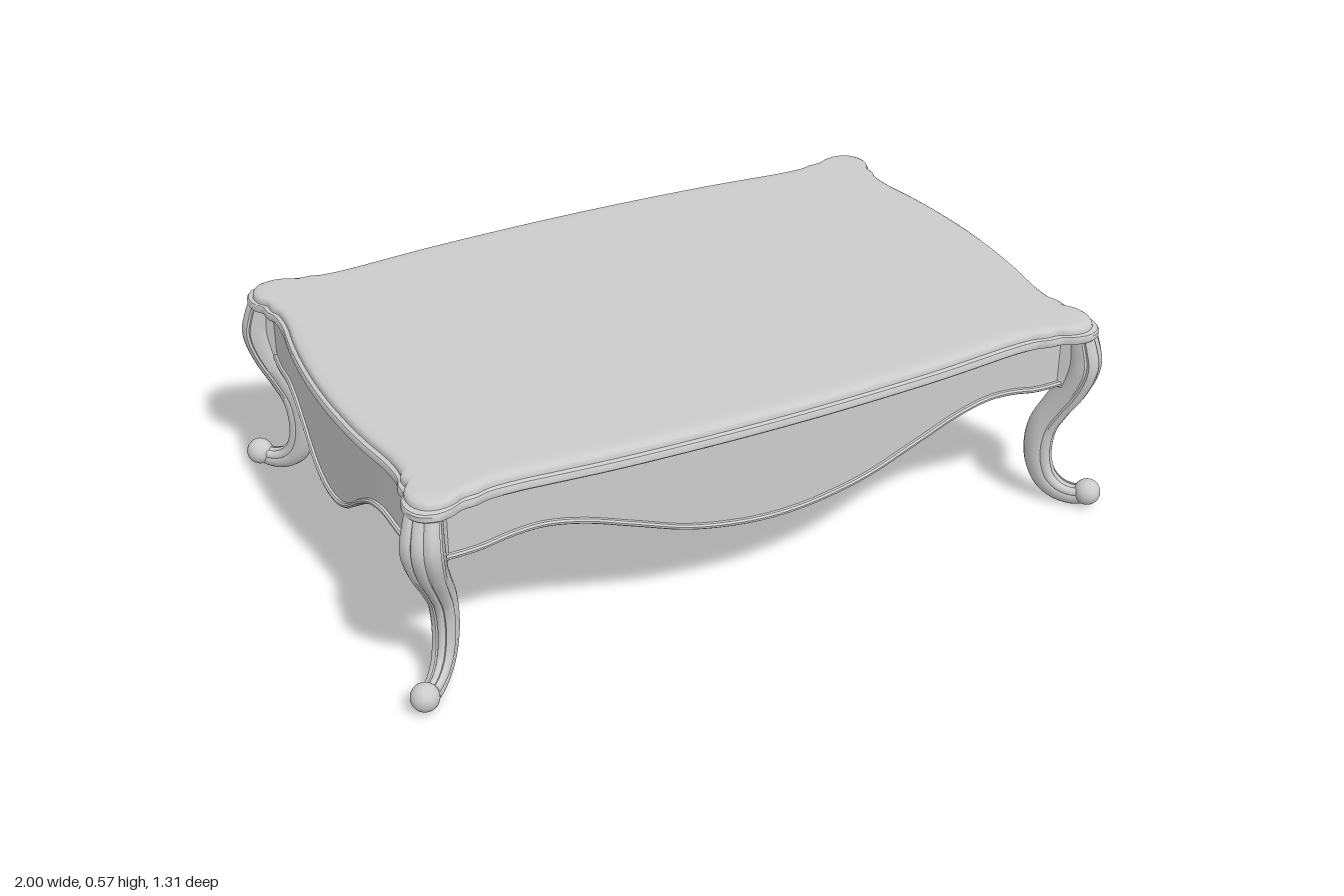
import * as THREE from 'three';
import { toCreasedNormals } from 'three/addons/utils/BufferGeometryUtils.js';

const material = new THREE.MeshStandardMaterial({ color: 0xcccccc });
const V = (x, y, z) => new THREE.Vector3(x, y, z);

// Skin closed rings into a capped solid with outward faces.
function loft(name, rings, crease = 0.6) {
  const n = rings[0].length;
  const tris = [];
  for (let i = 0; i < rings.length - 1; i++) {
    for (let j = 0; j < n; j++) {
      const k = (j + 1) % n;
      const a = rings[i][j], b = rings[i][k], c = rings[i + 1][k], d = rings[i + 1][j];
      tris.push([a, b, c], [a, c, d]);
    }
  }
  const cap = (ring, flip) => {
    const mid = ring.reduce((s, p) => s.add(p), V(0, 0, 0)).divideScalar(n);
    ring.forEach((p, j) => {
      const q = ring[(j + 1) % n];
      tris.push(flip ? [mid, q, p] : [mid, p, q]);
    });
  };
  cap(rings[0], true);
  cap(rings[rings.length - 1], false);
  // A negative volume means the winding is inside out
  const volume = tris.reduce((s, [a, b, c]) => s + a.dot(b.clone().cross(c)), 0);
  const pts = tris.flatMap(([a, b, c]) => (volume < 0 ? [a, c, b] : [a, b, c]));
  // Creasing merges points closer than 0.01, so it is done at a larger scale
  const big = new THREE.BufferGeometry().setFromPoints(pts).scale(200, 200, 200);
  const mesh = new THREE.Mesh(toCreasedNormals(big, crease).scale(0.005, 0.005, 0.005), material);
  mesh.name = name;
  return mesh;
}

// Bowed tabletop with eared corners and a stepped, rounded edge.
function tabletop() {
  const quarter = [
    [0.2, 0.628], [0.45, 0.617], [0.6, 0.604], [0.69, 0.596], [0.77, 0.596],
    [0.802, 0.605], [0.84, 0.608], [0.87, 0.622], [0.91, 0.628], [0.945, 0.613],
    [0.963, 0.58], [0.962, 0.54], [0.945, 0.51], [0.944, 0.475], [0.935, 0.45],
    [0.935, 0.38], [0.952, 0.27], [0.965, 0.14],
  ];
  const back = [...quarter].reverse();
  const mirror = (list, sx, sz) => list.map(([x, z]) => V(x * sx, 0, z * sz));
  const outline = new THREE.CatmullRomCurve3([
    V(0, 0, 0.631), ...mirror(quarter, 1, 1),
    V(0.97, 0, 0), ...mirror(back, 1, -1),
    V(0, 0, -0.631), ...mirror(quarter, -1, -1),
    V(-0.97, 0, 0), ...mirror(back, -1, 1),
  ], true, 'centripetal');
  const edge = [];
  for (let i = 0; i < 304; i++) edge.push(outline.getPoint(i / 304));
  // Edge moulding: inset, height
  const moulding = [
    [0.06, 0.523], [0.01, 0.523], [0.003, 0.524], [0, 0.528], [0, 0.541], [0.003, 0.546],
    [0.013, 0.549], [0.014, 0.558], [0.017, 0.563], [0.024, 0.567], [0.04, 0.57], [0.06, 0.57],
  ];
  return loft('tabletop', moulding.map(([inset, y]) =>
    edge.map(p => V(p.x * (1 - inset / 0.97), y, p.z * (1 - inset / 0.631)))));
}

// Bowed apron panel with a scalloped, beaded lower edge; place(u, y, out) sets its side.
function apron(name, half, centre, end, place) {
  const points = [...half.slice(1).reverse().map(([u, y]) => V(-u, y, 0)),
    ...half.map(([u, y]) => V(u, y, 0))];
  const curve = new THREE.CatmullRomCurve3(points, false, 'centripetal');
  const length = half[half.length - 1][0];
  const rings = curve.getSpacedPoints(72).map(p => {
    const out = centre - (centre - end) * (p.x / length) ** 2;
    const section = [
      [0, 0.53], [0, p.y + 0.016], [0.006, p.y + 0.015], [0.01, p.y + 0.01],
      [0.009, p.y + 0.004], [0.004, p.y], [-0.03, p.y], [-0.03, 0.53],
    ];
    return section.map(([o, y]) => place(p.x, y, out + o));
  });
  return loft(name, rings);
}

// Cabriole leg swept along a diagonal S curve, ending in a ball foot.
function leg(name, sx, sz) {
  const group = new THREE.Group();
  group.name = name;
  // Path: x, height, radius
  const path = new THREE.CatmullRomCurve3([
    [0.916, 0.535, 0.037], [0.925, 0.49, 0.042], [0.93, 0.44, 0.046], [0.916, 0.37, 0.044],
    [0.889, 0.3, 0.041], [0.868, 0.24, 0.04], [0.861, 0.18, 0.039], [0.865, 0.12, 0.037],
    [0.881, 0.068, 0.034], [0.907, 0.038, 0.031], [0.935, 0.029, 0.029], [0.96, 0.037, 0.028],
  ].map(p => V(...p)), false, 'centripetal');
  // Half section: central bead, groove, flank, second groove and rounded back
  const half = [
    [1, 0], [0.98, 0.15], [0.92, 0.27], [0.82, 0.32], [0.9, 0.45], [0.85, 0.74], [0.67, 0.93],
    [0.4, 1], [0.28, 0.92], [0.16, 1], [-0.3, 0.94], [-0.65, 0.72], [-0.9, 0.38], [-1, 0],
  ];
  const section = [...half, ...half.slice(1, -1).reverse().map(([u, v]) => [u, -v])];
  const side = V(1, 0, -1).normalize();
  const rings = [];
  for (let i = 0; i <= 48; i++) {
    const p = path.getPoint(i / 48), t = path.getTangent(i / 48);
    const front = V(t.x, t.y, t.x).normalize().cross(side);
    // The knee is broad, the ankle slim
    const width = p.z * (0.8 + 0.32 * THREE.MathUtils.smoothstep(p.y, 0.22, 0.44));
    rings.push(section.map(([u, v]) => V(p.x, p.y, p.x - 0.343)
      .addScaledVector(front, u * p.z).addScaledVector(side, v * width)
      .multiply(V(sx, 1, sz))));
  }
  group.add(loft('cabrioleLeg', rings, 0.7));

  const ball = new THREE.Mesh(new THREE.SphereGeometry(0.036, 24, 16), material);
  ball.name = 'ballFoot';
  ball.position.set(0.964 * sx, 0.043, 0.619 * sz);
  group.add(ball);

  // Narrow neck joining the knee to the apron corner
  const neck = new THREE.Mesh(new THREE.BoxGeometry(0.066, 0.156, 0.06), material);
  neck.name = 'kneeNeck';
  neck.position.set(0.901 * sx, 0.45, 0.558 * sz);
  neck.rotation.y = sx * sz * Math.PI / 4;
  group.add(neck);
  return group;
}

export function createModel() {
  const model = new THREE.Group();
  model.name = 'coffeeTable';
  model.add(tabletop());

  // Lower edges of the aprons: distance from middle, height
  const longEdge = [[0, 0.253], [0.1, 0.259], [0.25, 0.287], [0.4, 0.34], [0.53, 0.385],
    [0.63, 0.403], [0.71, 0.397], [0.79, 0.38], [0.905, 0.372]];
  const shortEdge = [[0, 0.247], [0.06, 0.254], [0.12, 0.28], [0.2, 0.337], [0.28, 0.381],
    [0.35, 0.393], [0.42, 0.38], [0.47, 0.372], [0.56, 0.368]];
  for (const s of [1, -1]) {
    model.add(apron(s > 0 ? 'frontApron' : 'backApron', longEdge, 0.603, 0.563,
      (u, y, out) => V(u, y, out * s)));
    model.add(apron(s > 0 ? 'leftApron' : 'rightApron', shortEdge, 0.953, 0.908,
      (u, y, out) => V(out * s, y, u)));
    model.add(leg(s > 0 ? 'frontLeftLeg' : 'backLeftLeg', 1, s));
    model.add(leg(s > 0 ? 'frontRightLeg' : 'backRightLeg', -1, s));
  }
  return model;
}
